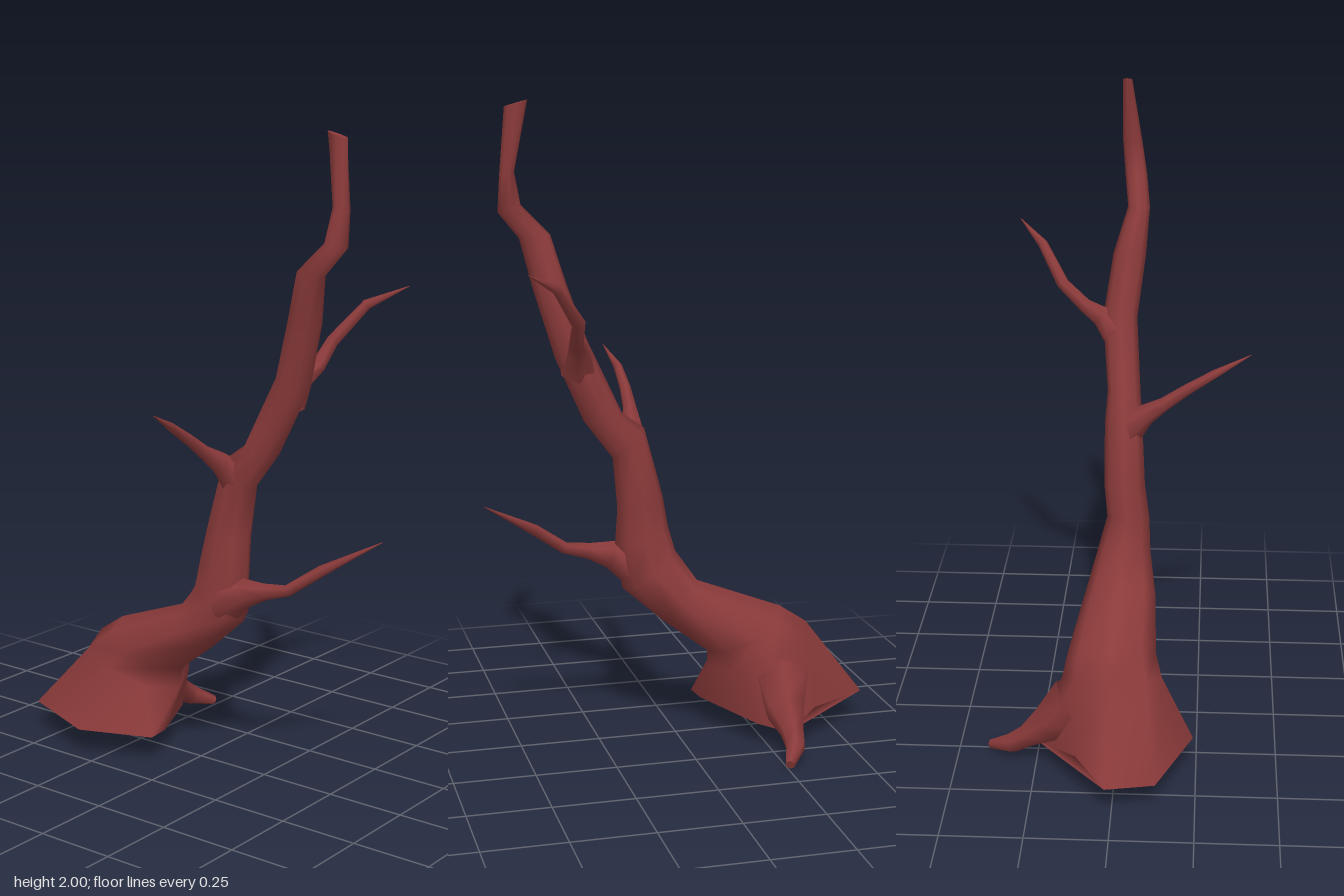
import * as THREE from 'three';

const bark = new THREE.MeshStandardMaterial({ color: 0x8b3a3a, side: THREE.DoubleSide });
const V = (x, y, z) => new THREE.Vector3(x, y, z);

// Skins a list of rings (equal point counts) with smooth sides
function loft(name, rings) {
  const n = rings[0].length, index = [];
  for (let i = 0; i < rings.length - 1; i++) {
    for (let j = 0; j < n; j++) {
      const a = i * n + j, b = i * n + (j + 1) % n;
      index.push(a, b, b + n, a, b + n, a + n);
    }
  }
  const geo = new THREE.BufferGeometry().setFromPoints(rings.flat());
  geo.setIndex(index);
  geo.computeVertexNormals();
  const mesh = new THREE.Mesh(geo, bark);
  mesh.name = name;
  return mesh;
}

// Flat end cover; up tells which way the ring faces
function cap(name, ring, up) {
  const index = [];
  for (let j = 1; j < ring.length - 1; j++) index.push(0, ...(up ? [j, j + 1] : [j + 1, j]));
  const geo = new THREE.BufferGeometry().setFromPoints(ring);
  geo.setIndex(index);
  geo.computeVertexNormals();
  const mesh = new THREE.Mesh(geo, bark);
  mesh.name = name;
  return mesh;
}

// Oval trunk ring from its left and right edge points and its depth range
function ovalRing([lx, ly, rx, ry, z0, z1], sides = 8) {
  return Array.from({ length: sides }, (_, j) => {
    const a = (j / sides) * Math.PI * 2, c = (1 - Math.cos(a)) / 2;
    return V(lx + (rx - lx) * c, ly + (ry - ly) * c, (z0 + z1) / 2 + Math.sin(a) * (z1 - z0) / 2);
  });
}

// Tapering limb along [x, y, z, radius] stations
function limb(name, stations, sides = 6) {
  const pts = stations.map((s) => V(s[0], s[1], s[2]));
  const rings = pts.map((p, i) => {
    const t = pts[Math.min(i + 1, pts.length - 1)].clone().sub(pts[Math.max(i - 1, 0)]).normalize();
    const u = V(0, 1, 0).addScaledVector(t, -t.y).normalize();
    const v = t.clone().cross(u);
    return Array.from({ length: sides }, (_, j) => {
      const a = (j / sides) * Math.PI * 2, r = stations[i][3];
      return p.clone().addScaledVector(u, Math.cos(a) * r).addScaledVector(v, Math.sin(a) * r);
    });
  });
  const group = new THREE.Group();
  group.name = name;
  group.add(loft(name + 'Side', rings), cap(name + 'End', rings[rings.length - 1], true));
  return group;
}

export function createModel() {
  const tree = new THREE.Group();
  tree.name = 'bareTree';

  // Angular foot of the trunk
  const foot = [
    V(-0.62, 0.09, -0.02), V(-0.59, 0.09, 0.13), V(-0.31, 0.09, 0.24), V(-0.09, 0.085, 0.14),
    V(-0.1, 0.085, 0.06), V(-0.22, 0.07, -0.18), V(-0.3, 0.06, -0.25), V(-0.43, 0.085, -0.12),
  ];

  // Leaning, crooked trunk: left x, y, right x, y, back z, front z
  const trunk = [
    [-0.43, 0.34, -0.1, 0.21, -0.17, 0.14],
    [-0.34, 0.4, -0.1, 0.27, -0.155, 0.12],
    [-0.07, 0.5, 0.04, 0.375, -0.115, 0.11],
    [0, 0.6, 0.17, 0.49, -0.08, 0.09],
    [0.02, 0.68, 0.19, 0.63, -0.05, 0.085],
    [0.04, 0.78, 0.185, 0.75, -0.06, 0.07],
    [0.1, 1.0, 0.2, 0.91, -0.06, 0.06],
    [0.17, 1.05, 0.29, 1.03, -0.055, 0.05],
    [0.28, 1.28, 0.38, 1.23, -0.075, 0.035],
    [0.34, 1.46, 0.44, 1.44, -0.045, 0.06],
    [0.38, 1.6, 0.475, 1.59, 0, 0.07],
    [0.47, 1.69, 0.54, 1.67, -0.012, 0.058],
    [0.49, 1.79, 0.535, 1.78, -0.02, 0.042],
    [0.45, 2.0, 0.52, 1.98, -0.02, 0.01],
  ].map((s) => ovalRing(s));
  tree.add(loft('trunk', [foot, ...trunk]));
  tree.add(cap('trunkBottom', foot, false), cap('trunkTop', trunk[trunk.length - 1], true));

  // Root reaching out behind
  tree.add(limb('root', [
    [-0.31, 0.2, -0.12, 0.1], [-0.3, 0.12, -0.21, 0.065], [-0.3, 0.075, -0.28, 0.038],
    [-0.295, 0.045, -0.33, 0.032], [-0.255, 0.015, -0.4, 0.015],
  ]));

  // Three thin side branches
  tree.add(limb('lowerBranch', [
    [0.11, 0.55, 0.02, 0.075], [0.2, 0.595, 0.03, 0.045], [0.27, 0.61, 0.03, 0.026],
    [0.35, 0.627, 0.025, 0.018], [0.45, 0.7, -0.01, 0.017], [0.615, 0.8, -0.085, 0.001],
  ]));
  tree.add(limb('frontBranch', [
    [0.14, 0.94, 0.01, 0.055], [0.125, 1.0, 0.07, 0.034], [0.115, 1.04, 0.13, 0.022],
    [0.112, 1.09, 0.2, 0.018], [0.115, 1.145, 0.29, 0.014], [0.138, 1.2, 0.4, 0.001],
  ]));
  tree.add(limb('backBranch', [
    [0.31, 1.2, -0.02, 0.06], [0.32, 1.26, -0.08, 0.036], [0.338, 1.29, -0.135, 0.024],
    [0.345, 1.36, -0.205, 0.021], [0.42, 1.47, -0.275, 0.016], [0.52, 1.525, -0.355, 0.001],
  ]));

  return tree;
}
